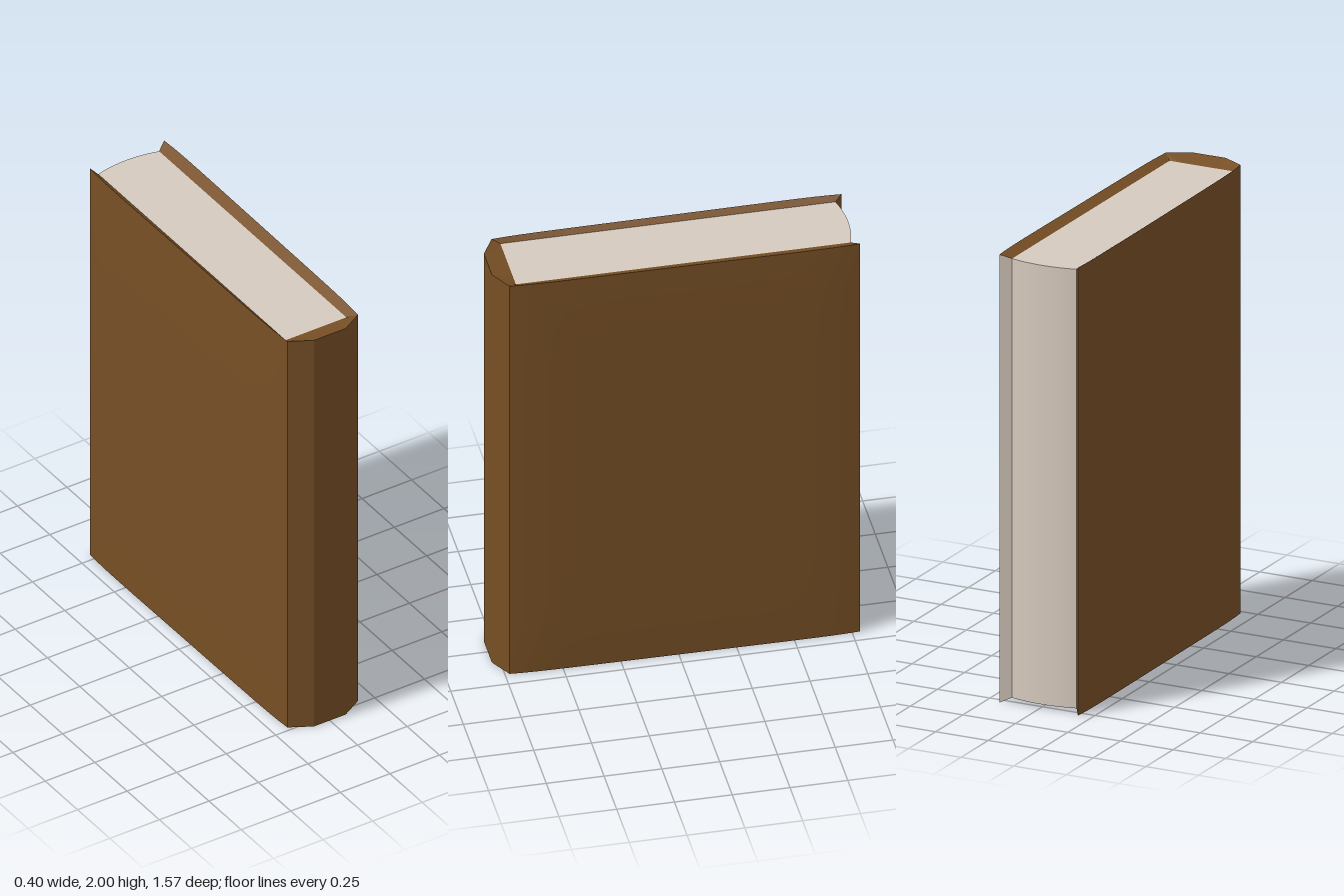
import * as THREE from 'three';

const H = 2, INSET = 0.02, BACK = -0.785, HINGE = 0.73;

// Surface from a function of (u, v) in 0..1
function surface(fn, nu, nv) {
  const pos = [], idx = [];
  for (let i = 0; i <= nu; i++)
    for (let j = 0; j <= nv; j++) pos.push(...fn(i / nu, j / nv));
  for (let i = 0; i < nu; i++)
    for (let j = 0; j < nv; j++) {
      const a = i * (nv + 1) + j, b = a + nv + 1;
      idx.push(a, b, a + 1, b, b + 1, a + 1);
    }
  const g = new THREE.BufferGeometry();
  g.setAttribute('position', new THREE.Float32BufferAttribute(pos, 3));
  g.setIndex(idx);
  g.computeVertexNormals();
  return g;
}

// Flat four-cornered face
function quad(a, b, c, d) {
  const mix = (p, q, t) => p.map((x, k) => x + (q[k] - x) * t);
  return surface((u, v) => mix(mix(a, b, u), mix(d, c, u), v), 1, 1);
}

// Point on a gently bowed cover board: u runs back to hinge, v bottom to top
function boardPoint(side, u, v) {
  const bow = (t) => 1 - Math.pow(Math.abs(2 * t - 1), 8);
  const x = 0.187 - 0.009 * u + bow(u) * (0.008 + 0.005 * bow(v));
  return [side * x, v * H, BACK + (HINGE - BACK) * u];
}

export function createModel() {
  const book = new THREE.Group();
  book.name = 'book';
  const leather = new THREE.MeshStandardMaterial({ color: 0x774f25, side: THREE.DoubleSide });
  leather.name = 'brown leather';
  const paper = new THREE.MeshStandardMaterial({ color: 0xd6cabe, side: THREE.DoubleSide });
  paper.name = 'paper';
  const add = (geometry, material, name) => {
    const m = new THREE.Mesh(geometry, material);
    m.name = name;
    book.add(m);
  };
  const innerX = (s) => (s < 0 ? -0.165 : 0.142);

  // Cover boards and the bevel along their back edges
  for (const s of [-1, 1]) {
    const label = s > 0 ? 'left' : 'right';
    add(surface((u, v) => boardPoint(s, u, v), 24, 24), leather, label + 'Cover');
    const x = s * 0.187, ix = innerX(s);
    add(quad([x, 0, BACK], [ix, INSET, -0.755], [ix, H - INSET, -0.755], [x, H, BACK]),
      s > 0 ? paper : leather, label + 'CoverEdge');
  }

  // Three-sided spine
  const spine = [[-0.178, HINGE], [-0.08, 0.785], [0.08, 0.785], [0.178, HINGE]];
  for (let i = 0; i < 3; i++) {
    const [a, b] = [spine[i], spine[i + 1]];
    add(quad([a[0], 0, a[1]], [b[0], 0, b[1]], [b[0], H, b[1]], [a[0], H, a[1]]), leather, 'spinePanel');
  }

  // Sloping rims from the outer edge down to the page block, top and bottom
  for (const top of [0, 1]) {
    const outerY = top ? H : 0, innerY = top ? H - INSET : INSET;
    const label = top ? 'topRim' : 'bottomRim';
    for (const s of [-1, 1]) {
      add(surface((u, v) => {
        const p = boardPoint(s, u, top);
        const q = [innerX(s), innerY, THREE.MathUtils.clamp(p[2], -0.755, 0.695)];
        return p.map((n, k) => n + (q[k] - n) * v);
      }, 24, 1), leather, label);
    }
    for (let i = 0; i < 3; i++) {
      const [a, b] = [spine[i], spine[i + 1]];
      const inner = (p) => [THREE.MathUtils.clamp(p[0], innerX(-1), innerX(1)), innerY, 0.695];
      add(quad([a[0], outerY, a[1]], [b[0], outerY, b[1]], inner(b), inner(a)), leather, label);
    }
  }

  // Page block with a rounded fore-edge
  const shape = new THREE.Shape();
  shape.moveTo(innerX(-1), -0.755);
  shape.quadraticCurveTo(-0.01, -0.798, innerX(1), -0.755);
  shape.lineTo(innerX(1), 0.695);
  shape.lineTo(innerX(-1), 0.695);
  const pages = new THREE.ExtrudeGeometry(shape, { depth: H - 2 * INSET, bevelEnabled: false, curveSegments: 24 });
  pages.rotateX(Math.PI / 2).translate(0, H - INSET, 0);
  add(pages, paper, 'pages');

  return book;
}
